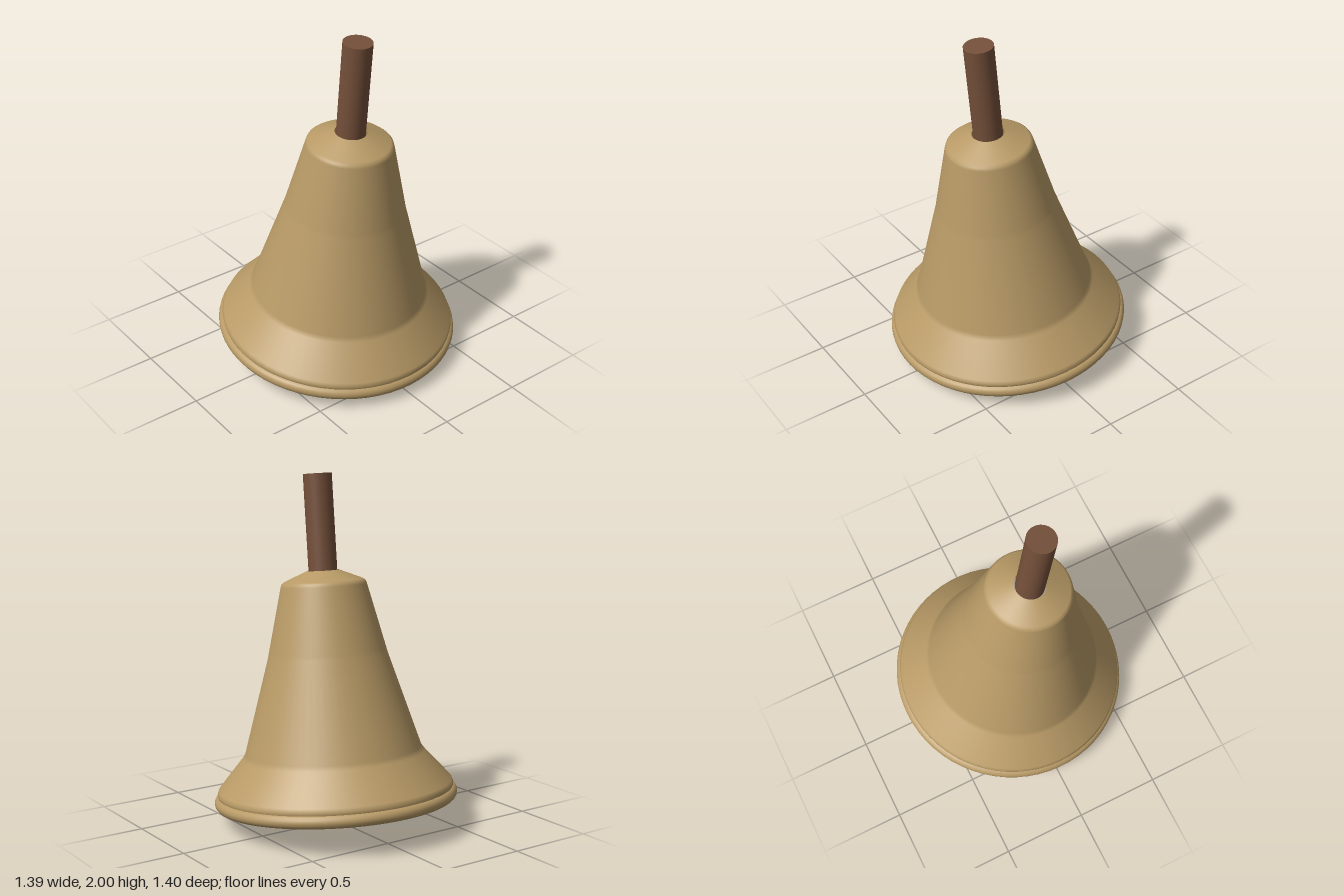
import * as THREE from 'three';

export function createModel() {
  const model = new THREE.Group();
  model.name = 'handBell';

  const brass = new THREE.MeshStandardMaterial({ color: 0xb89a66, side: THREE.DoubleSide });
  brass.name = 'brass';
  const wood = new THREE.MeshStandardMaterial({ color: 0x75503a });
  wood.name = 'brown wood';

  const add = (parent, name, geometry, material) => {
    const mesh = new THREE.Mesh(geometry, material);
    mesh.name = name;
    parent.add(mesh);
    return mesh;
  };

  // Everything but the clapper leans together about the centre of the rim
  const tilted = new THREE.Group();
  tilted.name = 'tiltedBell';
  tilted.position.y = 0.155;
  tilted.rotation.z = -0.1;
  model.add(tilted);

  // Open shell: radius, height above the rim
  const profile = [
    [0.66, 0], [0.677, 0.03], [0.681, 0.05], [0.672, 0.072],
    [0.525, 0.243], [0.508, 0.27],
    [0.343, 0.815], [0.336, 0.845],
    [0.246, 1.215], [0.24, 1.232], [0.226, 1.243],
    [0.09, 1.3],
  ].map(([r, y]) => new THREE.Vector2(r, y));
  add(tilted, 'bellShell', new THREE.LatheGeometry(profile, 64), brass);

  // Rolled rim
  const rim = new THREE.TorusGeometry(0.663, 0.038, 16, 64);
  rim.rotateX(Math.PI / 2);
  add(tilted, 'rim', rim, brass);

  // Straight round handle
  const handleBottom = 1.28, handleTop = 1.846;
  const handle = add(tilted, 'handle',
    new THREE.CylinderGeometry(0.082, 0.082, handleTop - handleBottom, 40), wood);
  handle.position.y = (handleBottom + handleTop) / 2;

  // Egg-shaped clapper resting just below the rim
  const clapper = add(model, 'clapper', new THREE.SphereGeometry(1, 40, 28), brass);
  clapper.scale.set(0.15, 0.182, 0.15);
  clapper.position.set(-0.007, 0.182, 0.045);

  return model;
}
